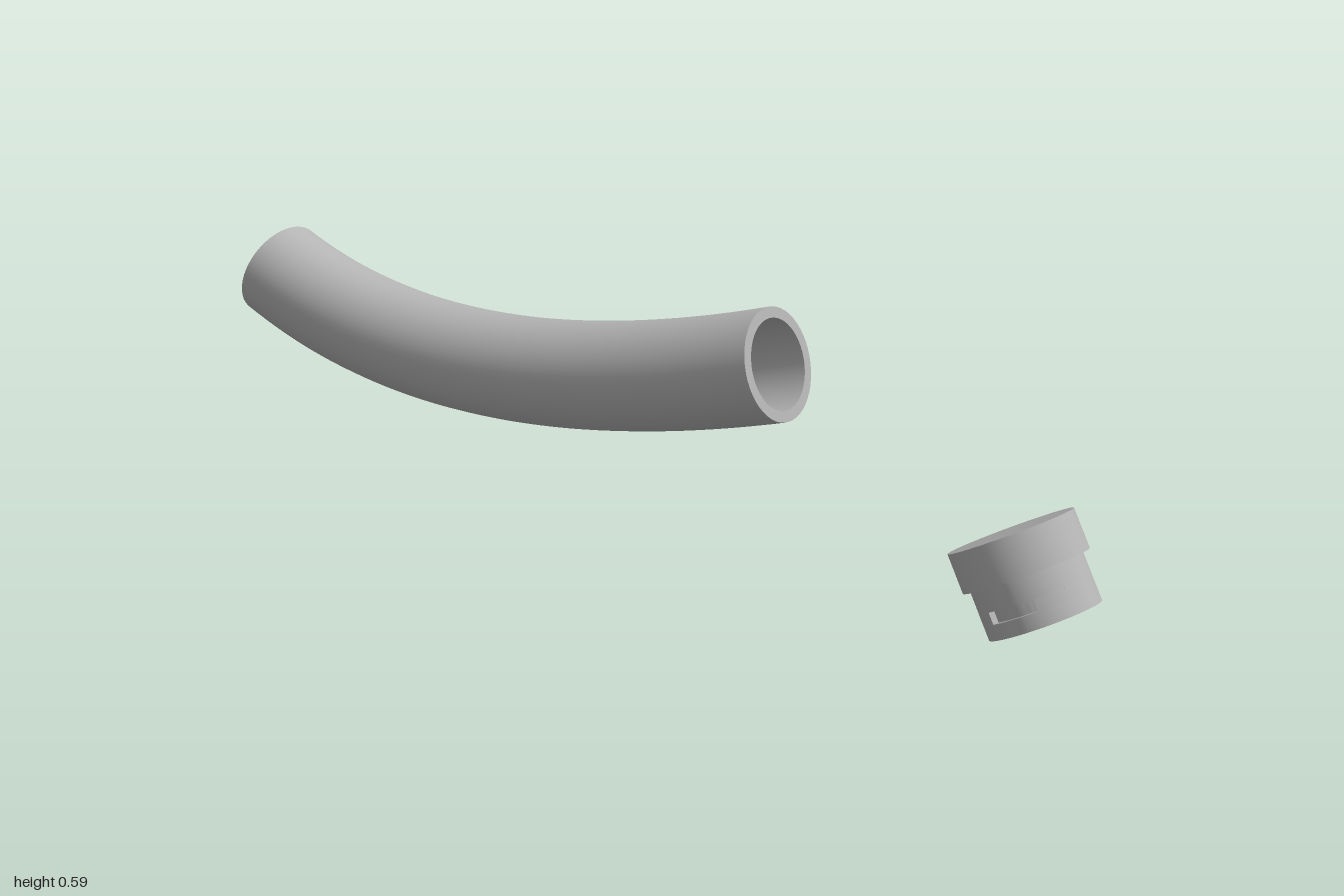
import * as THREE from 'three';
import { toCreasedNormals } from 'three/addons/utils/BufferGeometryUtils.js';

const gray = new THREE.MeshStandardMaterial({ color: 0xb4b4b4 });
gray.name = 'plain gray';

function add(parent, name, geometry) {
  const mesh = new THREE.Mesh(geometry, gray);
  mesh.name = name;
  parent.add(mesh);
  return mesh;
}

// Revolved profile with sharp edges
function turned(profile, start = 0, sweep = Math.PI * 2, segments = 64) {
  const points = profile.map(([r, y]) => new THREE.Vector2(r, y));
  return toCreasedNormals(new THREE.LatheGeometry(points, segments, start, sweep), 0.6);
}

// Bent hollow pipe
function createPipe() {
  const pipe = new THREE.Group();
  pipe.name = 'bentPipe';
  const outer = 0.108, inner = 0.087;
  const path = new THREE.CubicBezierCurve3(
    new THREE.Vector3(-0.953, 0.493, 0),
    new THREE.Vector3(-0.503, 0.274, 0),
    new THREE.Vector3(0.014, 0.349, 0),
    new THREE.Vector3(0.355, 0.43, 0)
  );
  add(pipe, 'pipeOutside', new THREE.TubeGeometry(path, 48, outer, 48));

  // Bore faces inward
  const bore = new THREE.TubeGeometry(path, 48, inner, 48);
  bore.index.array.reverse();
  const normals = bore.attributes.normal;
  for (let i = 0; i < normals.count; i++) {
    normals.setXYZ(i, -normals.getX(i), -normals.getY(i), -normals.getZ(i));
  }
  add(pipe, 'pipeBore', bore);

  // Flat end rings
  for (const [t, side] of [[0, -1], [1, 1]]) {
    const ring = add(pipe, 'pipeEnd', new THREE.RingGeometry(inner, outer, 48));
    ring.position.copy(path.getPoint(t));
    ring.lookAt(ring.position.clone().addScaledVector(path.getTangent(t), side));
  }
  return pipe;
}

// Stepped plug with a hollow neck and a slot on each side
function createCap() {
  const cap = new THREE.Group();
  cap.name = 'endCap';
  const neck = 0.102, recess = 0.09, low = 0.028, high = 0.05;

  // Hollow underside, listed from the blind bottom of the cavity out to the slots
  add(cap, 'neckCavity', turned([
    [0, 0.1], [0.074, 0.1], [0.074, 0.03], [0.083, 0.03], [0.083, 0], [neck, 0], [neck, low]
  ]));
  add(cap, 'flange', turned([
    [neck, high], [neck, 0.091], [0.115, 0.091], [0.115, 0.164], [0, 0.164]
  ]));

  // Band between the slots, and the slots themselves
  const half = 0.46;
  for (const middle of [0, Math.PI]) {
    add(cap, 'neckBand', turned([[neck, low], [neck, high]],
      middle + half, Math.PI - 2 * half, 24));
    add(cap, 'neckSlot', turned([[neck, low], [recess, low], [recess, high], [neck, high]],
      middle - half, 2 * half, 12));
    for (const side of [-1, 1]) {
      const angle = middle + side * (half + 0.01);
      const r = (neck + recess) / 2 - 0.0005;
      const wall = add(cap, 'slotEnd', new THREE.BoxGeometry(0.002, high - low, neck - recess));
      wall.position.set(r * Math.sin(angle), (low + high) / 2, r * Math.cos(angle));
      wall.rotation.y = angle;
    }
  }
  cap.position.set(0.906, 0.046, 0);
  cap.rotation.z = THREE.MathUtils.degToRad(26.2);
  return cap;
}

export function createModel() {
  const model = new THREE.Group();
  model.name = 'pipeAndCap';
  model.add(createPipe(), createCap());
  return model;
}
